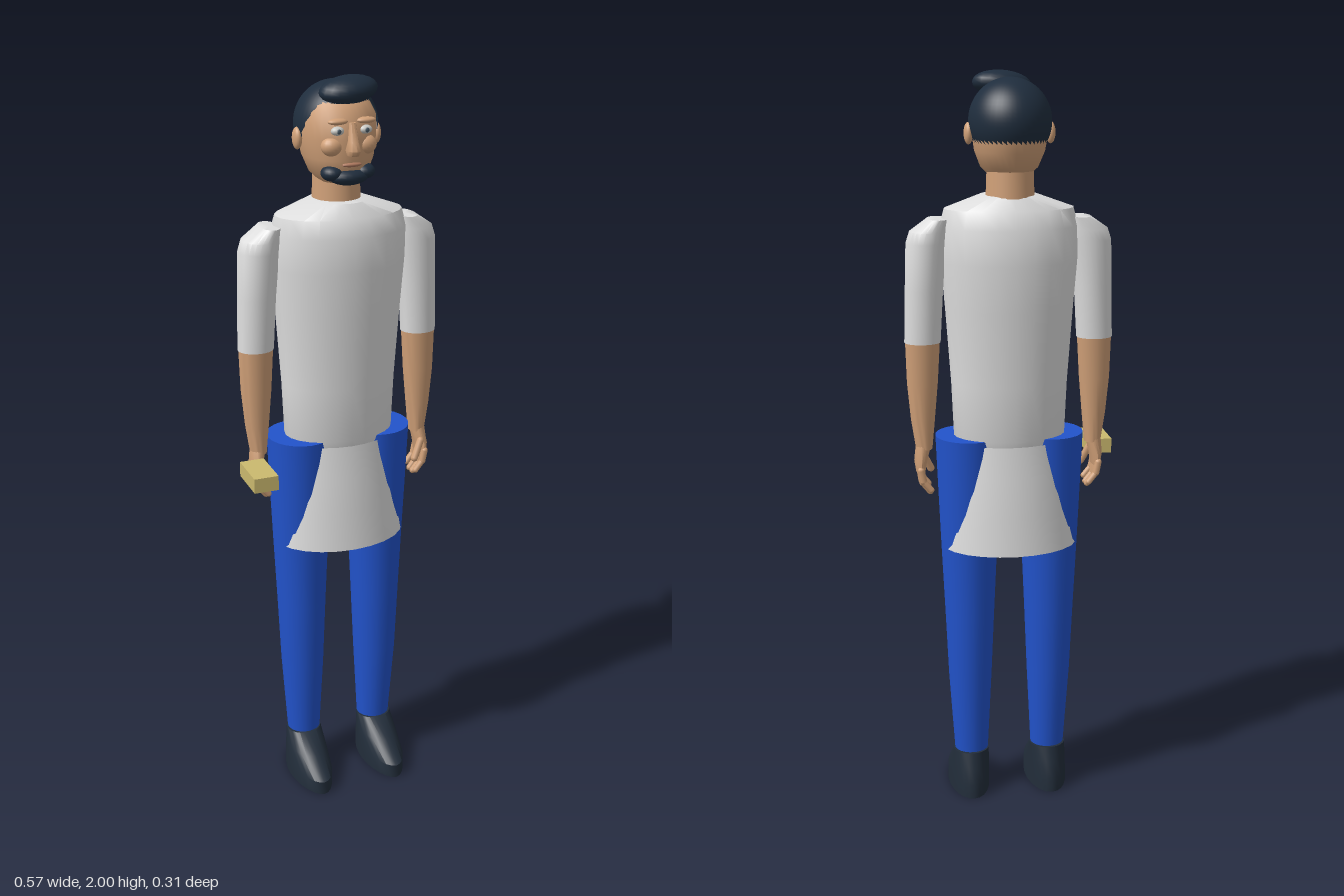
import * as THREE from 'three';
import { toCreasedNormals } from 'three/addons/utils/BufferGeometryUtils.js';

const paint = (name, color, side = THREE.FrontSide) => {
  const m = new THREE.MeshStandardMaterial({ color, side });
  m.name = name;
  return m;
};

// Closed elliptical loft; rings run bottom to top as [y, cx, cz, rx, rz]
function loft(rings, { segs = 24, caps = true, crease = 0.7 } = {}) {
  const pos = [], idx = [];
  for (const [y, cx, cz, rx, rz] of rings)
    for (let j = 0; j < segs; j++) {
      const a = (j / segs) * Math.PI * 2;
      pos.push(cx + rx * Math.sin(a), y, cz + rz * Math.cos(a));
    }
  for (let i = 0; i < rings.length - 1; i++)
    for (let j = 0; j < segs; j++) {
      const a = i * segs + j, b = i * segs + (j + 1) % segs;
      idx.push(a, b, a + segs, b, b + segs, a + segs);
    }
  if (caps) {
    const n = rings.length, top = (n - 1) * segs;
    for (const r of [rings[0], rings[n - 1]]) pos.push(r[1], r[0], r[2]);
    for (let j = 0; j < segs; j++) {
      const k = (j + 1) % segs;
      idx.push(n * segs, k, j, n * segs + 1, top + j, top + k);
    }
  }
  const g = new THREE.BufferGeometry();
  g.setAttribute('position', new THREE.Float32BufferAttribute(pos, 3));
  g.setIndex(idx);
  return toCreasedNormals(g, crease);
}

export function createModel() {
  const model = new THREE.Group();
  const cloth = paint('whiteCloth', 0xdedede, THREE.DoubleSide);
  const blue = paint('blueTrousers', 0x2253cb);
  const skin = paint('skin', 0xd0a078);
  const dark = paint('darkHair', 0x1f2d3d, THREE.DoubleSide);
  const shoeMat = paint('darkShoes', 0x222d3a);
  const gold = paint('tanBox', 0xcbb96e);
  const eyeMat = paint('eyeWhite', 0xc9c9c4);
  const irisMat = paint('iris', 0x4a5a66);
  const lipMat = paint('lips', 0xb07a60);

  const add = (name, geo, mat, parent = model) => {
    const m = new THREE.Mesh(geo, mat);
    m.name = name;
    parent.add(m);
    return m;
  };
  const blob = (name, mat, p, r, parent = model) => {
    const m = add(name, new THREE.SphereGeometry(1, 20, 14), mat, parent);
    m.position.set(...p);
    m.scale.set(...r);
    return m;
  };
  // Rounded finger between two points
  const finger = (name, a, b, r, parent) => {
    const A = new THREE.Vector3(...a), d = new THREE.Vector3(...b).sub(A);
    const m = add(name, new THREE.CapsuleGeometry(r, d.length(), 4, 8), skin, parent);
    m.position.copy(A).addScaledVector(d, 0.5);
    m.quaternion.setFromUnitVectors(new THREE.Vector3(0, 1, 0), d.normalize());
  };

  // Shirt and flared skirt
  add('shirt', loft([
    [1.03, 0, -0.023, 0.14, 0.098], [1.055, 0, -0.023, 0.15, 0.104], [1.2, 0, -0.023, 0.156, 0.109],
    [1.4, 0, -0.023, 0.17, 0.12], [1.52, 0, -0.023, 0.18, 0.125], [1.61, 0, -0.02, 0.182, 0.122],
    [1.656, 0, -0.018, 0.17, 0.105], [1.69, 0, -0.018, 0.075, 0.078],
  ]), cloth);
  add('skirt', loft([
    [0.745, 0, -0.023, 0.185, 0.133], [0.85, 0, -0.023, 0.174, 0.125],
    [0.95, 0, -0.023, 0.161, 0.115], [1.04, 0, -0.023, 0.15, 0.105],
  ], { caps: false }), cloth);

  for (const s of [1, -1]) {
    const side = s > 0 ? 'left' : 'right';

    // Legs
    add(side + 'Leg', loft([
      [0.13, s * 0.109, -0.02, 0.047, 0.045], [0.36, s * 0.111, -0.02, 0.06, 0.064],
      [0.55, s * 0.111, -0.021, 0.068, 0.07], [0.75, s * 0.111, -0.022, 0.077, 0.077],
      [0.9, s * 0.11, -0.022, 0.084, 0.087], [1.055, s * 0.11, -0.022, 0.09, 0.095],
    ]), blue);

    // Shoes, narrowed towards the toe
    const shoe = loft([
      [0, s * 0.112, 0.032, 0.058, 0.127], [0.04, s * 0.112, 0.032, 0.058, 0.127],
      [0.085, s * 0.111, 0.004, 0.054, 0.086], [0.127, s * 0.11, -0.02, 0.05, 0.047],
    ]);
    const p = shoe.attributes.position;
    for (let i = 0; i < p.count; i++) {
      const t = Math.max(0, p.getZ(i)) / 0.16;
      p.setX(i, s * 0.111 + (p.getX(i) - s * 0.111) * (1 - 0.18 * t * t));
    }
    add(side + 'Shoe', shoe, shoeMat);

    // Arms
    add(side + 'Sleeve', loft([
      [1.31, s * 0.23, -0.02, 0.048, 0.042], [1.45, s * 0.224, -0.021, 0.05, 0.049],
      [1.57, s * 0.216, -0.022, 0.054, 0.056], [1.6, s * 0.209, -0.022, 0.051, 0.056],
      [1.632, s * 0.187, -0.022, 0.027, 0.05],
    ]), cloth);
    add(side + 'Forearm', loft([
      [1.02, s * 0.23, -0.018, 0.022, 0.026], [1.1, s * 0.232, -0.018, 0.032, 0.03],
      [1.2, s * 0.232, -0.019, 0.041, 0.036], [1.315, s * 0.23, -0.02, 0.046, 0.04],
    ]), skin);

    // Hands
    const hand = new THREE.Group();
    hand.name = side + 'Hand';
    model.add(hand);
    add('palm', loft([
      [0.955, s * 0.24, -0.012, 0.012, 0.036], [0.985, s * 0.24, -0.014, 0.017, 0.036],
      [1.03, s * 0.232, -0.018, 0.021, 0.026],
    ], { segs: 16 }), skin, hand);
    for (let i = 0; i < 4; i++) {
      const z = 0.018 - i * 0.021, drop = i === 0 || i === 3 ? 0.01 : 0;
      finger('fingerBase', [s * 0.242, 0.965, z], [s * 0.236, 0.925 + drop, z], 0.0095, hand);
      finger('fingerTip', [s * 0.236, 0.925 + drop, z], [s * 0.216, 0.9 + drop, z], 0.0085, hand);
    }
    finger('thumb', [s * 0.23, 0.995, 0.015], [s * 0.208, 0.95, 0.026], 0.01, hand);

    // Ears, eyes and brows
    blob(side + 'Ear', skin, [s * 0.106, 1.845, -0.03], [0.012, 0.028, 0.02]);
    blob(side + 'Eye', eyeMat, [s * 0.037, 1.875, 0.07], [0.017, 0.011, 0.013]);
    blob(side + 'Iris', irisMat, [s * 0.037, 1.875, 0.081], [0.006, 0.006, 0.003]);
    blob(side + 'Brow', skin, [s * 0.037, 1.898, 0.072], [0.026, 0.008, 0.014]);
    blob(side + 'Cheek', skin, [s * 0.043, 1.835, 0.052], [0.03, 0.025, 0.025]);
    blob(side + 'Beard', dark, [s * 0.043, 1.768, 0.046], [0.028, 0.02, 0.03]);
  }

  // Neck and head
  add('neck', loft([
    [1.66, 0, -0.035, 0.064, 0.066], [1.735, 0, -0.035, 0.061, 0.064], [1.77, 0, -0.035, 0.06, 0.062],
  ]), skin);
  add('head', loft([
    [1.738, 0, -0.02, 0.052, 0.06], [1.76, 0, -0.022, 0.074, 0.088], [1.8, 0, -0.027, 0.09, 0.105],
    [1.85, 0, -0.033, 0.098, 0.111], [1.9, 0, -0.033, 0.097, 0.11], [1.94, 0, -0.04, 0.08, 0.088],
    [1.96, 0, -0.04, 0.05, 0.05],
  ], { segs: 32, crease: 1.2 }), skin);
  add('nose', loft([
    [1.815, 0, 0.08, 0.015, 0.02], [1.828, 0, 0.084, 0.019, 0.026],
    [1.85, 0, 0.08, 0.013, 0.021], [1.895, 0, 0.072, 0.009, 0.014],
  ], { segs: 10, crease: 1 }), skin);
  blob('lips', lipMat, [0, 1.791, 0.073], [0.026, 0.006, 0.009]);
  blob('chinBeard', dark, [0, 1.758, 0.05], [0.052, 0.022, 0.036]);

  // Hair cap: low at the nape, rising to a hairline over the forehead
  const hair = new THREE.SphereGeometry(1, 48, 20);
  const hp = hair.attributes.position;
  for (let i = 0; i < hp.count; i++) {
    const x = hp.getX(i), z = hp.getZ(i), phi = Math.atan2(x, z);
    const low = 1.822 + 0.115 * THREE.MathUtils.smoothstep(Math.cos(phi), 0, 0.75);
    const v = Math.acos(THREE.MathUtils.clamp(hp.getY(i), -1, 1)) / Math.PI;
    const t = v * Math.acos((low - 1.875) / 0.108);
    hp.setXYZ(i, 0.106 * Math.sin(t) * Math.sin(phi), 1.875 + 0.108 * Math.cos(t),
      -0.037 + 0.115 * Math.sin(t) * Math.cos(phi));
  }
  hair.computeVertexNormals();
  add('hair', hair, dark);
  const quiff = blob('quiff', dark, [0.012, 1.964, 0.018], [0.078, 0.034, 0.052]);
  quiff.rotation.set(0.1, 0.12, 0.08);

  // Small box by the right hand
  add('box', new THREE.BoxGeometry(0.066, 0.04, 0.122), gold).position.set(-0.259, 0.993, 0.074);

  return model;
}
